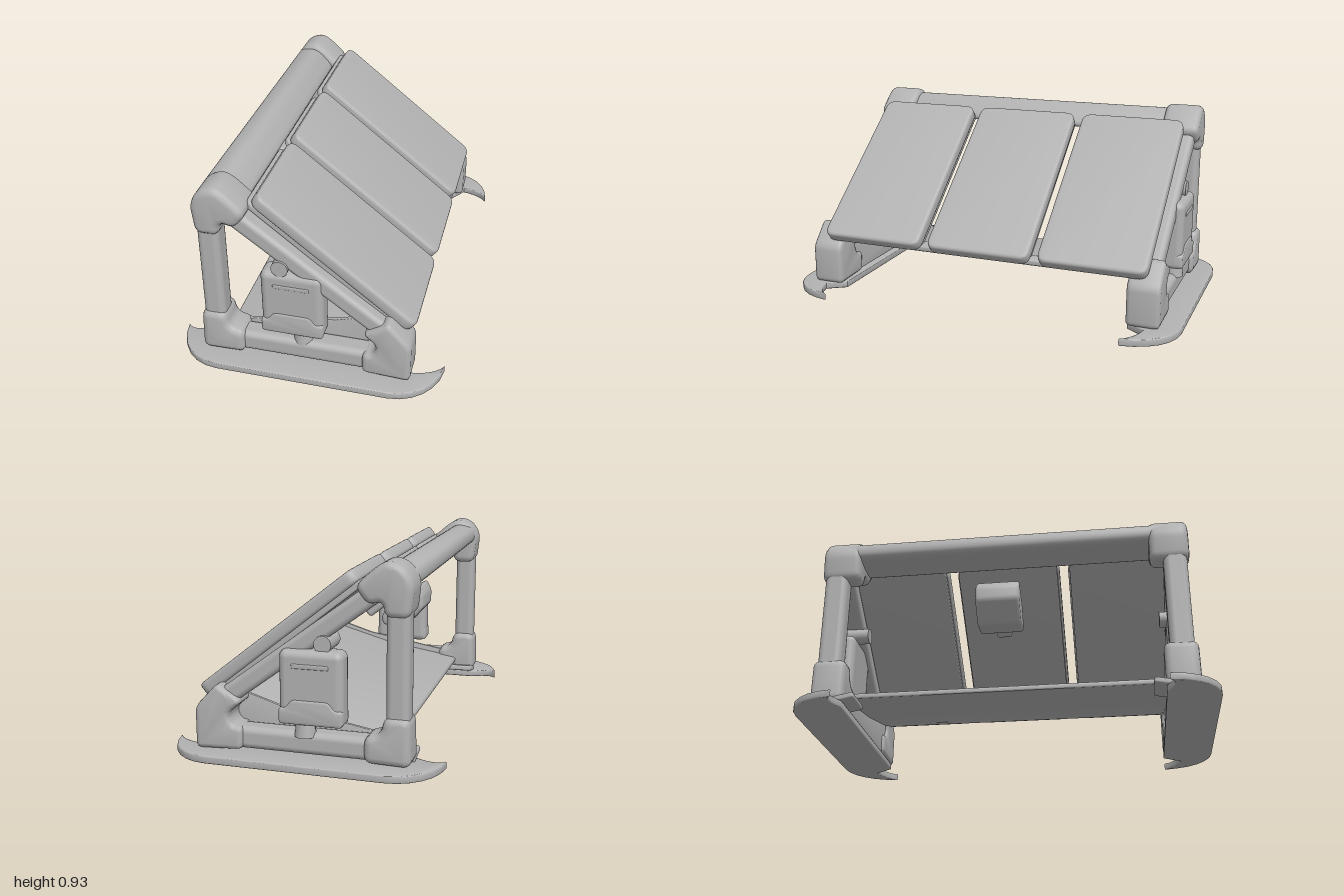
import * as THREE from 'three';
import { toCreasedNormals } from 'three/addons/utils/BufferGeometryUtils.js';
import { RoundedBoxGeometry } from 'three/addons/geometries/RoundedBoxGeometry.js';

const TILT = -0.669;

export function createModel() {
  const model = new THREE.Group();
  model.name = 'solarRack';
  const grey = new THREE.MeshStandardMaterial({ color: 0xb2b2b2 });
  grey.name = 'grey';

  function add(name, geometry, x = 0, y = 0, z = 0, parent = model) {
    const mesh = new THREE.Mesh(geometry, grey);
    mesh.name = name;
    mesh.position.set(x, y, z);
    parent.add(mesh);
    return mesh;
  }

  // Polygon with rounded corners
  function roundedShape(points, radius) {
    const shape = new THREE.Shape();
    const p = points.map(([x, y]) => new THREE.Vector2(x, y));
    p.forEach((c, i) => {
      const toward = (q) => c.clone().lerp(q, Math.min(0.48, radius / c.distanceTo(q)));
      const a = toward(p[(i + p.length - 1) % p.length]);
      const b = toward(p[(i + 1) % p.length]);
      if (i === 0) shape.moveTo(a.x, a.y);
      else shape.lineTo(a.x, a.y);
      shape.quadraticCurveTo(c.x, c.y, b.x, b.y);
    });
    shape.closePath();
    return shape;
  }

  // Bevelled slab centred on its own thickness
  function slab(shape, thickness, bevel) {
    const g = new THREE.ExtrudeGeometry(shape, {
      depth: thickness - 2 * bevel, bevelThickness: bevel, bevelSize: bevel,
      bevelOffset: -bevel, bevelSegments: 3, curveSegments: 6,
    });
    g.translate(0, 0, -(thickness - 2 * bevel) / 2);
    return toCreasedNormals(g, 0.7);
  }

  const rect = (w, h) => [[-w / 2, -h / 2], [w / 2, -h / 2], [w / 2, h / 2], [-w / 2, h / 2]];
  const rbox = (w, h, d, r) => new RoundedBoxGeometry(w, h, d, 3, r);

  // Beam between two points in the side plane
  function beam(name, x1, y1, x2, y2, width, depth, z) {
    const m = add(name, rbox(Math.hypot(x2 - x1, y2 - y1), width, depth, Math.min(width, depth) * 0.3),
      (x1 + x2) / 2, (y1 + y2) / 2, z);
    m.rotation.z = Math.atan2(y2 - y1, x2 - x1);
  }

  // Corner fitting outlines, seen from the side
  const topCorner = roundedShape([[-0.495, 0.69], [-0.385, 0.69], [-0.375, 0.76], [-0.31, 0.74],
    [-0.25, 0.82], [-0.35, 0.91], [-0.4, 0.935], [-0.47, 0.91], [-0.512, 0.84]], 0.04);
  const rearCorner = roundedShape([[-0.507, 0.035], [-0.295, 0.04], [-0.295, 0.16],
    [-0.37, 0.175], [-0.385, 0.255], [-0.5, 0.255]], 0.04);
  const frontCorner = roundedShape([[0.27, 0.045], [0.497, 0.035], [0.497, 0.23], [0.39, 0.345],
    [0.36, 0.325], [0.27, 0.27], [0.34, 0.21], [0.32, 0.155], [0.27, 0.15]], 0.03);

  // Crescent-shaped ground skid
  const skid = new THREE.Shape();
  skid.moveTo(0.637, 0.76);
  skid.bezierCurveTo(0.63, 0.9, 0.53, 1, 0.41, 1);
  skid.lineTo(-0.41, 1);
  skid.bezierCurveTo(-0.53, 1, -0.63, 0.9, -0.637, 0.76);
  skid.quadraticCurveTo(-0.6, 0.81, -0.5, 0.75);
  skid.lineTo(0.44, 0.75);
  skid.lineTo(0.5, 0.84);
  skid.quadraticCurveTo(0.6, 0.82, 0.637, 0.76);

  // Two triangular end frames
  for (const s of [1, -1]) {
    const z = s * 0.835;
    const skidMesh = add('skid', slab(skid, 0.036, 0.006).rotateX(Math.PI / 2), 0, 0.018, 0);
    skidMesh.scale.z = s;
    add('topCorner', slab(topCorner, 0.19, 0.03), 0, 0, s * 0.81);
    add('rearCorner', slab(rearCorner, 0.16, 0.03), 0, 0, s * 0.83);
    add('frontCorner', slab(frontCorner, 0.16, 0.022), 0, 0, s * 0.83);
    const flare = add('rearCornerFlare', rbox(0.17, 0.03, 0.12, 0.01), -0.42, 0.052, s * 0.755);
    flare.rotation.x = s * 0.2;
    beam('post', -0.441, 0.15, -0.441, 0.8, 0.104, 0.115, z);
    beam('bottomRail', -0.4, 0.097, 0.4, 0.097, 0.105, 0.11, z);
    beam('slopedRail', -0.36, 0.81, 0.37, 0.27, 0.088, 0.1, z);

    // Equipment box hung on the end frame, handle on its outer face
    const box = new THREE.Group();
    box.name = 'equipmentBox';
    box.position.set(-0.06, 0.36, s > 0 ? 0.84 : -0.863);
    box.rotation.y = s > 0 ? 0 : Math.PI;
    model.add(box);
    add('boxBody', rbox(0.295, 0.34, 0.115, 0.035), 0, 0, 0, box);
    const cover = roundedShape([[-0.147, -0.165], [0.147, -0.165], [0.147, -0.09], [0.115, -0.09],
      [0.085, -0.05], [-0.085, -0.05], [-0.115, -0.09], [-0.147, -0.09]], 0.02);
    add('boxLowerCover', slab(cover, 0.11, 0.012), 0, 0, 0.008, box);
    add('boxHandle', rbox(0.17, 0.022, 0.014, 0.006), 0, 0.1, 0.054, box);
    add('boxStalk', new THREE.CylinderGeometry(0.04, 0.05, 0.08, 16), 0.04 * s, -0.19, 0, box);

    // Pivot knob holding the box
    const knob = add('pivotKnob', new THREE.CylinderGeometry(0.04, 0.04, 0.14, 20), -0.11, 0.557, s * 0.825);
    knob.rotation.x = Math.PI / 2;

    // Side skirt joining the floor sheet to the bottom rail
    const skirt = roundedShape([[-0.36, 0.05], [0.38, 0.05], [0.39, 0.275], [0.3, 0.283],
      [0.12, 0.228], [-0.3, 0.155], [-0.36, 0.15]], 0.01);
    add('floorSkirt', slab(skirt, 0.02, 0.004), 0, 0, s * 0.775);
  }

  // Long top rail
  const railProfile = roundedShape([[-0.502, 0.81], [-0.43, 0.79], [-0.3, 0.79], [-0.298, 0.82],
    [-0.37, 0.895], [-0.42, 0.91], [-0.497, 0.885]], 0.035);
  add('topRail', slab(railProfile, 1.56, 0.01));

  // Sloping floor sheet
  const sheet = roundedShape([[-0.4, 0.082], [0, 0.145], [0.4, 0.237], [0.4, 0.265],
    [0.34, 0.27], [0, 0.175], [-0.4, 0.11]], 0.01);
  add('floorSheet', slab(sheet, 1.56, 0.004));

  // Three tilted panels with backing trays
  const panelGeometry = slab(roundedShape(rect(0.932, 0.53), 0.05), 0.062, 0.015).rotateX(Math.PI / 2);
  const trayGeometry = slab(roundedShape(rect(0.9, 0.51), 0.04), 0.03, 0.008).rotateX(Math.PI / 2);
  for (const z of [0.57, -0.005, -0.58]) {
    const panel = new THREE.Group();
    panel.name = 'panel';
    panel.position.set(0.125, 0.572, z);
    panel.rotation.z = TILT;
    model.add(panel);
    add('panelFace', panelGeometry, 0, 0, 0, panel);
    add('panelTray', trayGeometry, -0.03, -0.044, 0, panel);
  }

  // Wedge-shaped control unit under the middle panel
  const wedge = roundedShape([[-0.39, 0.65], [-0.365, 0.695], [-0.22, 0.61], [-0.175, 0.525],
    [-0.19, 0.49], [-0.3, 0.485], [-0.39, 0.585]], 0.015);
  add('controlUnit', slab(wedge, 0.22, 0.015), 0, 0, -0.04);
  beam('controlUnitArm', -0.28, 0.69, -0.08, 0.53, 0.06, 0.08, -0.04);
  beam('controlUnitMount', -0.22, 0.58, -0.1, 0.7, 0.06, 0.08, -0.04);

  return model;
}
